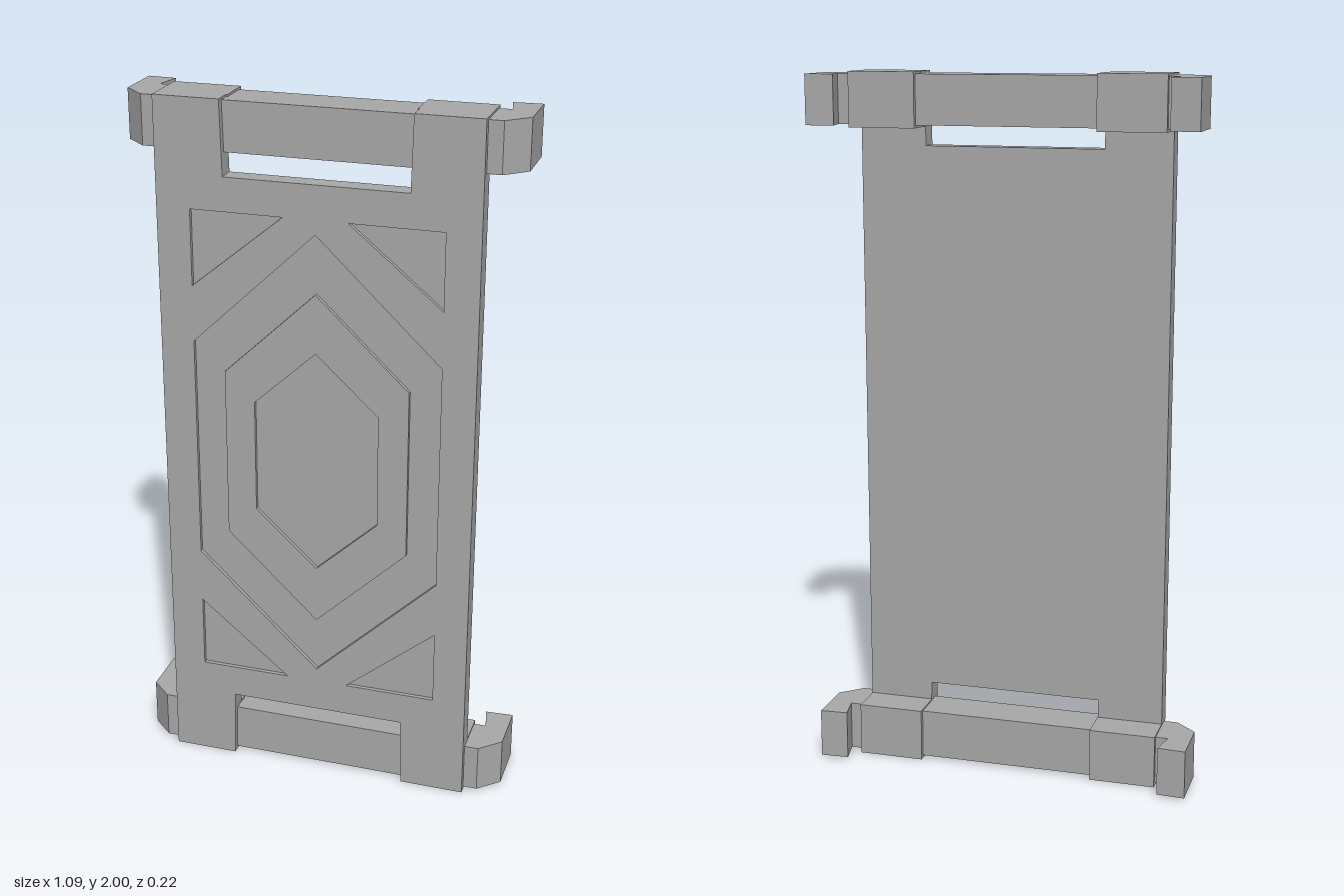
import * as THREE from 'three';

const gray = new THREE.MeshStandardMaterial({ color: 0xa8a8a8, flatShading: true });
gray.name = 'plain gray';

const FRONT = 0.11, BACK = 0.055, RECESS = 0.012;
const points = (list) => list.map(([x, y]) => new THREE.Vector2(x, y));

// Upright hexagon centred on y = 1: tip height, half width, shoulder height
const hexagon = (tip, w, shoulder) => points([
  [0, 1 + tip], [-w, 1 + shoulder], [-w, 1 - shoulder],
  [0, 1 - tip], [w, 1 - shoulder], [w, 1 + shoulder],
]);

function plate(name, outline, holes, z0, z1) {
  const shape = new THREE.Shape(outline);
  shape.holes = holes.map((h) => new THREE.Path(h));
  const geo = new THREE.ExtrudeGeometry(shape, { depth: z1 - z0, bevelEnabled: false });
  geo.translate(0, 0, z0);
  const mesh = new THREE.Mesh(geo, gray);
  mesh.name = name;
  return mesh;
}

// Rail with a hooked end on each side, drawn in plan (x, z) and extruded in height
function hookedRail(name, y0, y1) {
  const half = [[0.485, 0.09], [0.545, 0.035], [0.545, -0.113], [0.465, -0.108], [0.48, -0.033]];
  const mirrored = half.map(([x, z]) => [-x, z]).reverse();
  const geo = new THREE.ExtrudeGeometry(new THREE.Shape(points([...half, ...mirrored])),
    { depth: y1 - y0, bevelEnabled: false });
  geo.rotateX(Math.PI / 2);
  geo.translate(0, y1, 0);
  const mesh = new THREE.Mesh(geo, gray);
  mesh.name = name;
  return mesh;
}

export function createModel() {
  const group = new THREE.Group();
  group.name = 'hookedPanel';

  // Panel outline with an open notch at top and bottom
  const outline = points([
    [-0.445, 0], [-0.26, 0], [-0.255, 0.205], [0.255, 0.205], [0.26, 0], [0.445, 0],
    [0.445, 2], [0.26, 2], [0.255, 1.795], [-0.255, 1.795], [-0.26, 2], [-0.445, 2],
  ]);

  // Recessed corner triangles
  const triangles = [];
  for (const sx of [-1, 1]) for (const sy of [-1, 1]) {
    triangles.push(points([
      [sx * 0.35, 1 + sy * 0.7], [sx * 0.09, 1 + sy * 0.7], [sx * 0.35, 1 + sy * 0.485],
    ]));
  }

  const floor = FRONT - RECESS;
  group.add(plate('panelBase', outline, [], BACK, floor));
  group.add(plate('panelFace', outline, [hexagon(0.66, 0.35, 0.325), ...triangles], floor, FRONT));
  // Raised hexagonal ring with a recessed centre
  group.add(plate('hexagonRing', hexagon(0.495, 0.262, 0.245), [hexagon(0.327, 0.177, 0.163)], floor, FRONT));

  // Rails and the sleeves that hold them to the panel
  for (const [level, y0, y1] of [['bottom', 0.008, 0.148], ['top', 1.856, 1.994]]) {
    group.add(hookedRail(level + 'Rail', y0, y1));
    for (const [side, s] of [['Left', 1], ['Right', -1]]) {
      const sleeve = new THREE.Mesh(new THREE.BoxGeometry(0.19, 0.152, BACK + 0.047), gray);
      sleeve.name = level + side + 'Sleeve';
      sleeve.position.set(s * 0.35, level === 'top' ? 1.924 : 0.076, (BACK - 0.047) / 2);
      group.add(sleeve);
    }
  }
  return group;
}
